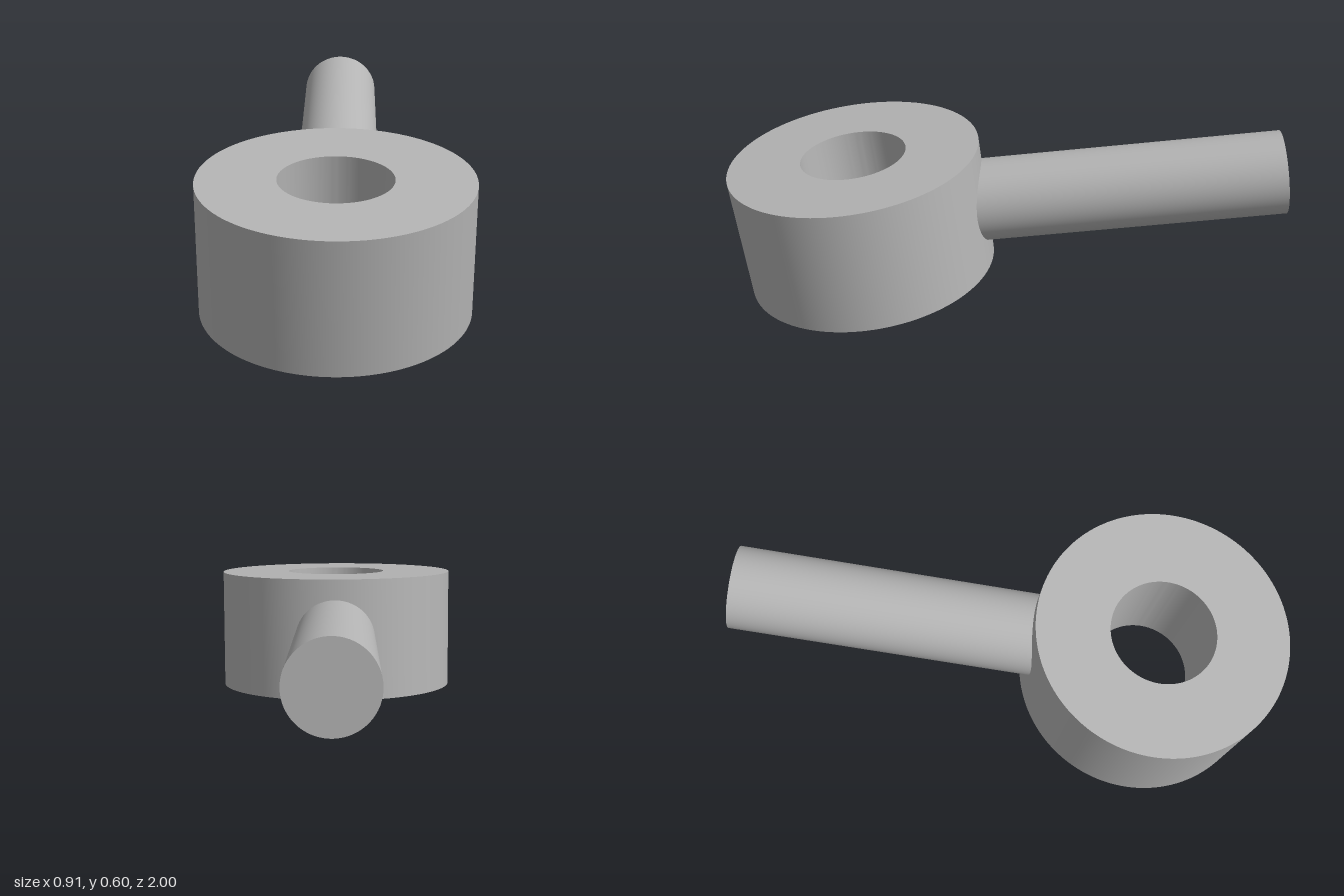
import * as THREE from 'three';
import { toCreasedNormals } from 'three/addons/utils/BufferGeometryUtils.js';

export function createModel() {
  const model = new THREE.Group();
  model.name = 'eyeRod';
  const steel = new THREE.MeshStandardMaterial({ color: 0xb4b4b4 });
  steel.name = 'steel grey';

  const hub = new THREE.Vector3(0, 0.2825, 0.525);
  const rodEnd = new THREE.Vector3(0.055, 0.46, -0.982);

  // Thick ring with a through hole, tipped slightly forward
  const height = 0.453;
  const outline = new THREE.Shape().absarc(0, 0, 0.453, 0, Math.PI * 2, false);
  outline.holes.push(new THREE.Path().absarc(0, 0, 0.19, 0, Math.PI * 2, true));
  const ringGeometry = new THREE.ExtrudeGeometry(outline, {
    depth: height, bevelEnabled: false, curveSegments: 72,
  });
  ringGeometry.translate(0, 0, -height / 2).rotateX(-Math.PI / 2);
  const ring = new THREE.Mesh(toCreasedNormals(ringGeometry, 0.5), steel);
  ring.name = 'ring';
  ring.position.copy(hub);
  ring.rotation.x = 0.116;
  model.add(ring);

  // Round rod, rooted inside the ring wall and aimed away from its centre
  const direction = rodEnd.clone().sub(hub).normalize();
  const rodStart = hub.clone().addScaledVector(direction, 0.3);
  const rod = new THREE.Mesh(
    new THREE.CylinderGeometry(0.149, 0.149, rodStart.distanceTo(rodEnd), 64), steel);
  rod.name = 'rod';
  rod.position.copy(rodStart).add(rodEnd).multiplyScalar(0.5);
  rod.quaternion.setFromUnitVectors(new THREE.Vector3(0, 1, 0), direction);
  model.add(rod);

  return model;
}
